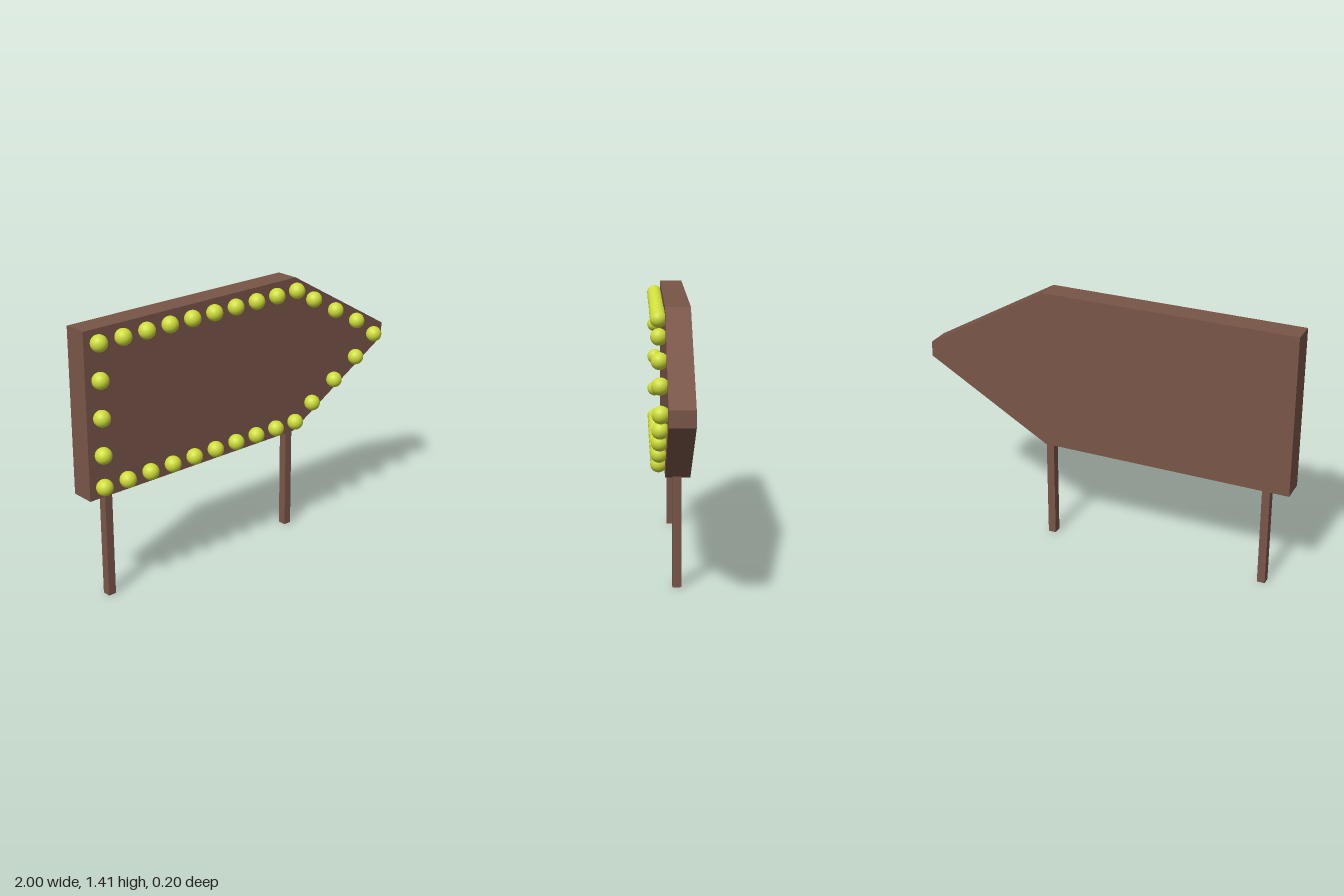
import * as THREE from 'three';

export function createModel() {
  const group = new THREE.Group();
  group.name = 'arrowSign';
  const wood = new THREE.MeshStandardMaterial({ color: 0x795548 });
  wood.name = 'brown wood';
  const glass = new THREE.MeshStandardMaterial({ color: 0xcddc39 });
  glass.name = 'yellow bulb';

  const add = (name, geometry, material, x, y, z) => {
    const mesh = new THREE.Mesh(geometry, material);
    mesh.name = name;
    mesh.position.set(x, y, z);
    group.add(mesh);
  };

  // Arrow-shaped board with a blunt tip
  const outline = [[-1, 0.563], [0.335, 0.563], [1, 0.947], [1, 1.028], [0.335, 1.412], [-1, 1.412]];
  const shape = new THREE.Shape(outline.map(([x, y]) => new THREE.Vector2(x, y)));
  const board = new THREE.ExtrudeGeometry(shape, { depth: 0.125, bevelEnabled: false });
  add('board', board, wood, 0, 0, -0.1);

  // Two square posts running up into the board
  const post = new THREE.BoxGeometry(0.042, 0.6, 0.045);
  add('leftPost', post, wood, 0.333, 0.3, -0.033);
  add('rightPost', post, wood, -0.867, 0.3, -0.033);

  // Light bulbs around the border
  const bulb = new THREE.SphereGeometry(0.042, 32, 20);
  const addBulb = (x, y) => add('bulb', bulb, glass, x, y, 0.057);
  const midY = 0.99;
  for (const side of [-1, 1]) {
    for (let i = 0; i < 10; i++) addBulb(-0.935 + i * 0.139, midY + side * 0.361);
    for (let i = 0; i < 3; i++) addBulb(0.44 + i * 0.163, midY + 0.003 + side * (0.287 - i * 0.092));
  }
  for (let i = 0; i < 3; i++) addBulb(-0.935, 0.793 + i * 0.188);
  addBulb(0.905, midY);

  return group;
}
